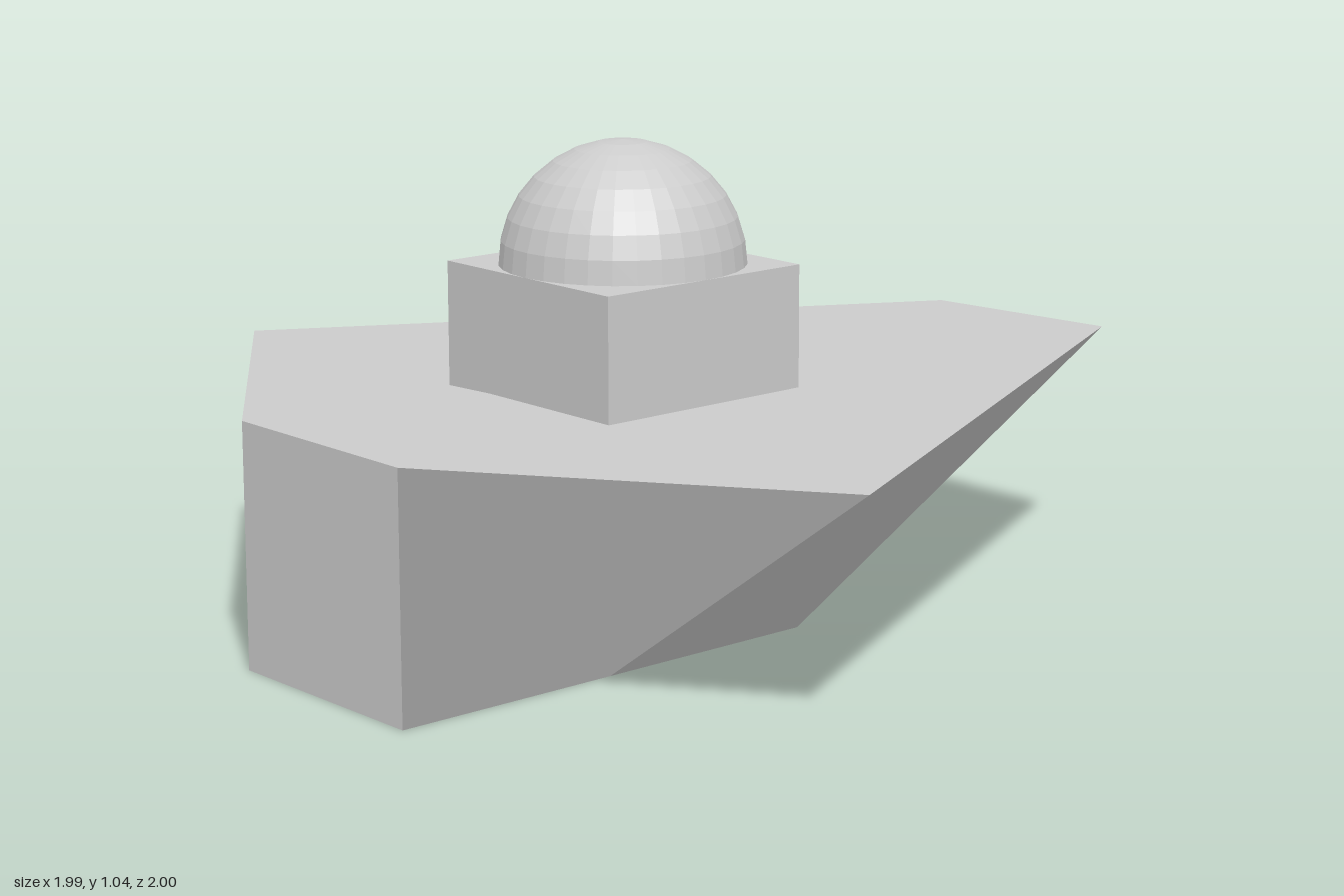
import * as THREE from 'three';

const material = () => new THREE.MeshStandardMaterial({ color: 0xcccccc, flatShading: true });

// Each face is a list of corners, fanned from its first corner and shaded as one flat panel.
function panelGeometry(faces) {
  const positions = [], normals = [];
  for (const face of faces) {
    const v = face.map((p) => new THREE.Vector3(...p));
    const normal = new THREE.Vector3();
    for (let i = 1; i < v.length - 1; i++) {
      const a = v[i].clone().sub(v[0]), b = v[i + 1].clone().sub(v[0]);
      normal.add(a.cross(b));
    }
    normal.normalize();
    for (let i = 1; i < v.length - 1; i++) {
      for (const p of [v[0], v[i], v[i + 1]]) {
        positions.push(p.x, p.y, p.z);
        normals.push(normal.x, normal.y, normal.z);
      }
    }
  }
  const geometry = new THREE.BufferGeometry();
  geometry.setAttribute('position', new THREE.Float32BufferAttribute(positions, 3));
  geometry.setAttribute('normal', new THREE.Float32BufferAttribute(normals, 3));
  return geometry;
}

export function createModel() {
  const model = new THREE.Group();
  const add = (name, geometry, x = 0, y = 0, z = 0) => {
    const mesh = new THREE.Mesh(geometry, material());
    mesh.name = name;
    mesh.position.set(x, y, z);
    model.add(mesh);
    return mesh;
  };

  const L = 0.245, R = -0.275; // sides of the keel and tower
  const deckY = 0.523, midZ = 0.475, keelBackZ = -0.045;

  // Deck outline, anticlockwise from above, with the keel corner below each point
  const deck = [
    [R, deckY, 1], [L, deckY, 1], [0.99, deckY, midZ],
    [L, deckY, -0.99], [R, 0.505, -1], [-0.995, deckY, midZ],
  ];
  const keel = [
    [R, 0, 1], [L, 0, 1], [L, 0, midZ],
    [L, 0, keelBackZ], [R, 0, keelBackZ], [R, 0, midZ],
  ];

  // Hull: deck, flat keel and one sloping panel along each deck edge
  const sides = deck.map((corner, i) => {
    const j = (i + 1) % deck.length;
    return [corner, keel[i], keel[j], deck[j]];
  });
  const bottom = [keel[0], keel[4], keel[3], keel[1]];
  const hull = add('hull', panelGeometry([deck, bottom, ...sides]));
  hull.material.flatShading = false; // panels carry their own flat normals

  // Square tower rising from the deck
  const size = L - R, towerTop = 0.785, towerBase = 0.5;
  const cx = (L + R) / 2, cz = (midZ + keelBackZ) / 2;
  add('tower', new THREE.BoxGeometry(size, towerTop - towerBase, size),
    cx, (towerTop + towerBase) / 2, cz);

  // Dome on the tower
  add('dome', new THREE.SphereGeometry(size / 2, 32, 8, 0, Math.PI * 2, 0, Math.PI / 2),
    cx, towerTop, cz);

  return model;
}
